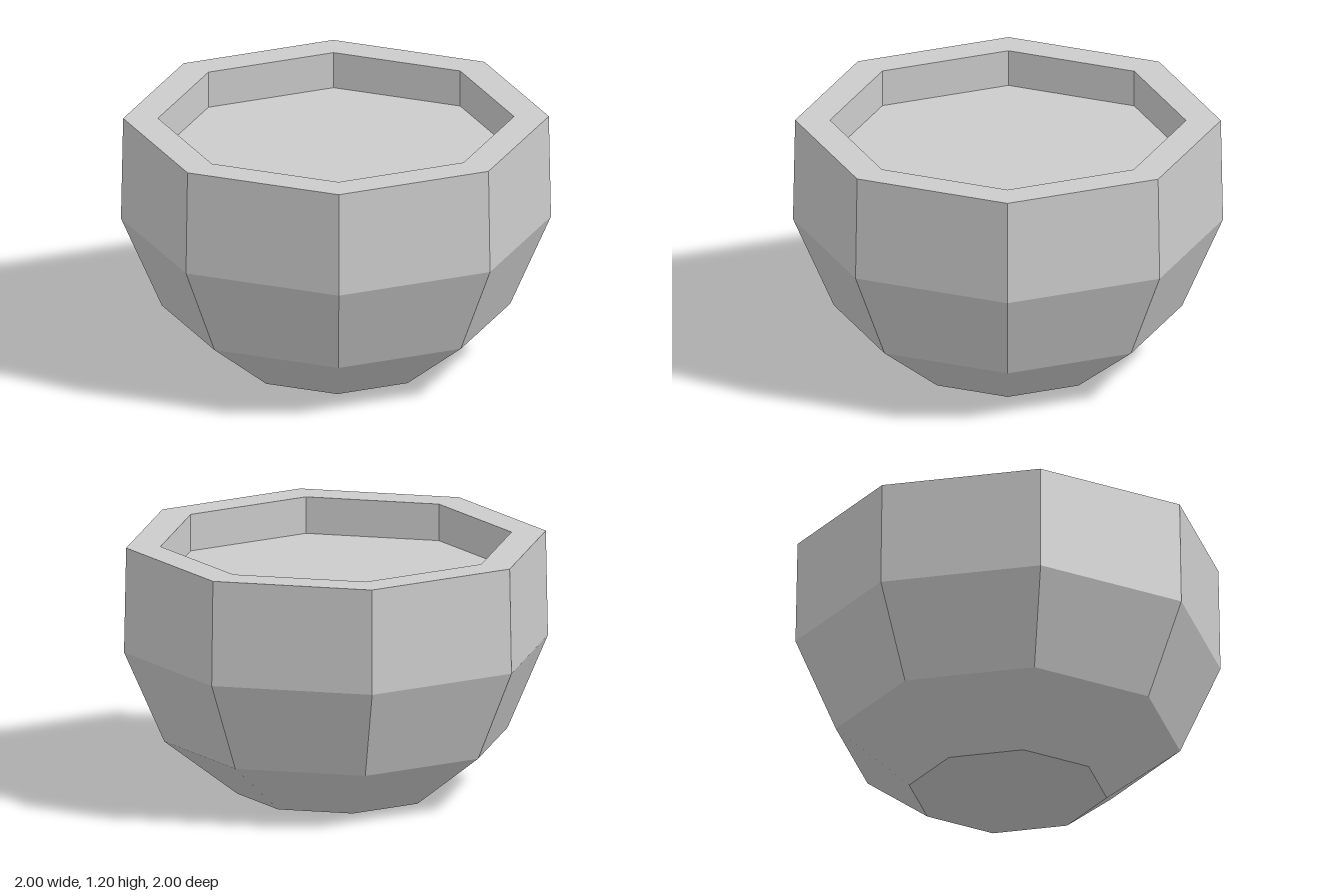
import * as THREE from 'three';

const SIDES = 8;

// Faceted solid of revolution with corners on the x and z axes
function facetedLathe(name, profile, material) {
  const points = profile.map(([r, y]) => new THREE.Vector2(r, y));
  const mesh = new THREE.Mesh(new THREE.LatheGeometry(points, SIDES), material);
  mesh.name = name;
  return mesh;
}

export function createModel() {
  const group = new THREE.Group();
  group.name = 'bowl';
  const material = new THREE.MeshStandardMaterial({ color: 0xcccccc, flatShading: true });

  // Base, flared sides, thick rim and inner wall
  group.add(facetedLathe('bowlShell', [
    [0, 0], [0.465, 0], [0.81, 0.265], [1, 0.7],
    [0.99, 1.2], [0.828, 1.2], [0.828, 1.025],
  ], material));

  // Flat surface sunk below the rim
  group.add(facetedLathe('recessedFloor', [[0.828, 1.025], [0, 1.025]], material));

  return group;
}
